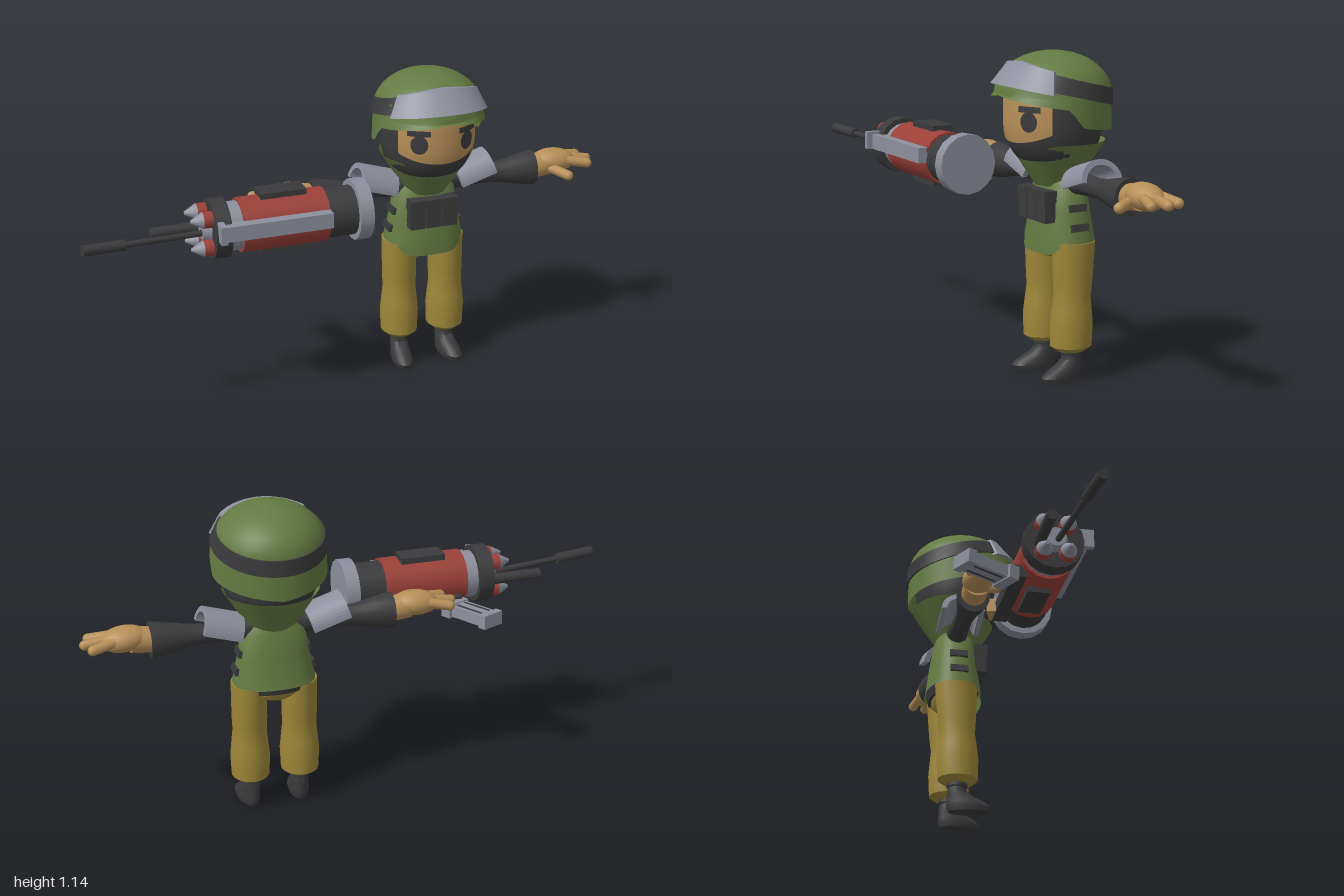
import * as THREE from 'three';
import { toCreasedNormals } from 'three/addons/utils/BufferGeometryUtils.js';

const mat = (name, color, extra = {}) => {
  const m = new THREE.MeshStandardMaterial({ color, ...extra });
  m.name = name;
  return m;
};
const lerp = THREE.MathUtils.lerp, smooth = THREE.MathUtils.smoothstep;

// surface from a rule fn(u, v) -> [x, y, z]
function grid(fn, nu, nv, crease = 0.7) {
  const pos = [], idx = [], w = nv + 1;
  for (let i = 0; i <= nu; i++) for (let j = 0; j <= nv; j++) pos.push(...fn(i / nu, j / nv));
  for (let i = 0; i < nu; i++) for (let j = 0; j < nv; j++) {
    const a = i * w + j, b = a + w;
    idx.push(a, b, b + 1, a, b + 1, a + 1);
  }
  const g = new THREE.BufferGeometry();
  g.setAttribute('position', new THREE.Float32BufferAttribute(pos, 3));
  g.setIndex(idx);
  return toCreasedNormals(g, crease);
}

// stacked rounded sections [y, z, rx, rz], closed at both ends
function loft(rows, n = 20) {
  const first = rows[0], last = rows[rows.length - 1];
  const r = [[first[0], first[1], 0, 0], ...rows, [last[0], last[1], 0, 0]];
  return grid((u, v) => {
    const [y, z, rx, rz] = r[Math.round(v * (r.length - 1))], a = u * Math.PI * 2;
    return [rx * Math.sin(a), y, z + rz * Math.cos(a)];
  }, n, r.length - 1);
}

// head and helmet surfaces, by heading angle and height
function headPoint(a, y, o = 0) {
  const s = Math.pow(Math.max(0, 1 - Math.pow(Math.abs((y - 0.93) / 0.19), 2.8)), 1 / 2.8);
  return [(0.172 * s + o) * Math.sin(a), y, -0.053 + (0.168 * s + o) * Math.cos(a)];
}
function helmetPoint(a, y, o = 0) {
  const s = y > 1 ? Math.sqrt(Math.max(0, 1 - ((y - 1) / 0.142) ** 2)) : 1;
  return [(0.197 * s + o) * Math.sin(a), y, -0.05 + (0.203 * s + o) * Math.cos(a)];
}
function helmetRim(a) {
  const d = Math.abs(a) * 180 / Math.PI;
  if (d < 76) return lerp(1.0, 0.96, d / 76);
  if (d < 91) return lerp(0.96, 0.894, (d - 76) / 15);
  return lerp(0.894, 0.855, (d - 91) / 89);
}

export function createModel() {
  const green = mat('olive green', 0x647a42, { side: THREE.DoubleSide });
  const dark = mat('charcoal', 0x3b3b3d);
  const skin = mat('skin tan', 0xb78f58);
  const pants = mat('mustard', 0x9d8638);
  const grey = mat('steel grey', 0x8d909d);
  const red = mat('brick red', 0x9c4039);

  const root = new THREE.Group();
  const add = (parent, name, geo, m, x = 0, y = 0, z = 0) => {
    const mesh = new THREE.Mesh(geo, m);
    mesh.name = name;
    mesh.position.set(x, y, z);
    parent.add(mesh);
    return mesh;
  };
  const box = (p, name, m, w, h, d, x, y, z) => add(p, name, new THREE.BoxGeometry(w, h, d), m, x, y, z);
  // round bar between two points, r0 at a and r1 at b
  const rod = (p, name, m, a, b, r0, r1 = r0, n = 16) => {
    const A = new THREE.Vector3(...a), B = new THREE.Vector3(...b), d = B.clone().sub(A);
    const mesh = add(p, name, new THREE.CylinderGeometry(r1, r0, d.length(), n), m);
    mesh.position.copy(A).add(B).multiplyScalar(0.5);
    mesh.quaternion.setFromUnitVectors(new THREE.Vector3(0, 1, 0), d.normalize());
    return mesh;
  };
  const finger = (p, name, a, b, r) => {
    const A = new THREE.Vector3(...a), B = new THREE.Vector3(...b), d = B.clone().sub(A);
    const mesh = add(p, name, new THREE.CapsuleGeometry(r, d.length(), 5, 10), skin);
    mesh.position.copy(A).add(B).multiplyScalar(0.5);
    mesh.quaternion.setFromUnitVectors(new THREE.Vector3(0, 1, 0), d.normalize());
  };

  const body = new THREE.Group();
  body.name = 'soldier';
  body.position.x = 0.322;
  root.add(body);

  // head: hood, face, eyes and brows
  add(body, 'hood', grid((u, v) => headPoint(u * Math.PI * 2, 0.93 - 0.19 * Math.cos(v * Math.PI)), 36, 20), dark);
  add(body, 'face', grid((u, v) => {
    const a = lerp(-1, 1, u);
    return headPoint(a, lerp(0.836 + 0.035 * a * a, 1.03, v), 0.004);
  }, 20, 10), skin);
  for (const s of [-1, 1]) {
    add(body, 'eye', grid((u, v) => {
      const t = -u * Math.PI * 2;
      return headPoint(s * 0.53 + 0.18 * v * Math.cos(t), 0.914 + 0.035 * v * Math.sin(t), 0.009);
    }, 20, 3), dark);
    add(body, 'brow', grid((u, v) => headPoint(s * 0.54 + (u - 0.5) * 0.48, 0.946 + 0.021 * v, 0.01), 6, 1), dark);
  }

  // helmet shell with flared rim, strap and goggles
  add(body, 'helmet', grid((u, v) => {
    const a = lerp(-Math.PI, Math.PI, u), rim = helmetRim(a);
    const y = v < 0.4 ? lerp(rim, Math.max(1.0, rim), v / 0.4) : 1 + 0.142 * Math.sin((v - 0.4) / 0.6 * Math.PI / 2);
    return helmetPoint(a, y, 0.012 * Math.max(0, 1 - v / 0.4) * (0.5 + 0.5 * Math.cos(a)));
  }, 48, 15), green);
  const band = (half, thick, a0, a1, open) => grid((u, v) => {
    const a = lerp(a0, a1, u), k = Math.round(v * 3);
    const y = 1.037 + 0.243 * (0.2 * Math.cos(a) - 0.05) + (k < 2 ? -half : half);
    const out = (k === 1 || k === 2) && (open || (u > 0 && u < 1));
    return helmetPoint(a, y, out ? thick : -0.004);
  }, 40, 3, 0.5);
  add(body, 'helmetStrap', band(0.029, 0.006, -Math.PI, Math.PI, true), dark);
  add(body, 'goggles', band(0.038, 0.017, -1.12, 1.12, false), grey);

  // scarf dipping below the chin
  add(body, 'scarf', grid((u, v) => {
    const a = lerp(-Math.PI, Math.PI, u);
    const y = lerp(0.68, 0.775 + 0.06 * smooth(Math.abs(a), 0.3, 1.05), v), r = 0.08 + (y - 0.69) * 0.63;
    return [r * Math.sin(a), y, -0.063 + r * Math.cos(a)];
  }, 36, 6), green);

  // vest with front flap, belt and hips
  const vestRows = [[0.5, 0.147, 0.1], [0.6, 0.126, 0.087], [0.69, 0.114, 0.073], [0.725, 0.08, 0.06]];
  add(body, 'vest', grid((u, v) => {
    const a = lerp(-Math.PI, Math.PI, u), c = Math.cos(a), s = Math.sin(a), k = Math.round(v * 4);
    const flap = smooth(c, 0.45, 0.9);
    const [y, rx, rz] = k ? vestRows[k - 1] : [0.49 - 0.043 * flap, 0.148, 0.103];
    const pow = x => Math.sign(x) * Math.pow(Math.abs(x), 0.85);
    return [rx * pow(s), y, -0.08 + rz * pow(c)];
  }, 36, 4), green);
  add(body, 'belt', loft([[0.466, -0.082, 0.135, 0.088], [0.5, -0.08, 0.145, 0.098]], 28), dark);
  add(body, 'hips', loft([[0.43, -0.08, 0.06, 0.06], [0.455, -0.08, 0.125, 0.078], [0.49, -0.08, 0.13, 0.08]], 28), pants);
  for (const i of [-1, 0, 1]) {
    box(body, 'pouch', dark, 0.058, 0.1, 0.042, i * 0.062, 0.61, 0.011);
    box(body, 'pouchFlap', dark, 0.061, 0.04, 0.048, i * 0.062, 0.65, 0.011);
  }

  // half ring profile of a shoulder pad
  const arch = new THREE.Shape();
  arch.absellipse(0, 0, 0.08, 0.075, 0, Math.PI, false);
  arch.absellipse(0, 0, 0.06, 0.055, Math.PI, 0, true);
  const padGeo = new THREE.ExtrudeGeometry(arch, { depth: 0.14, bevelEnabled: false, curveSegments: 10 });
  padGeo.rotateY(Math.PI / 2).rotateZ(0.3);

  // limbs, built on the left and mirrored
  for (const s of [1, -1]) {
    const side = new THREE.Group();
    side.name = s > 0 ? 'leftSide' : 'rightSide';
    side.scale.x = s;
    body.add(side);

    add(side, 'trouserLeg', loft([[0.105, -0.072, 0.048, 0.05], [0.122, -0.074, 0.068, 0.074], [0.2, -0.075, 0.071, 0.077],
      [0.25, -0.076, 0.066, 0.072], [0.3, -0.077, 0.061, 0.066], [0.35, -0.079, 0.063, 0.071], [0.41, -0.08, 0.063, 0.075],
      [0.49, -0.082, 0.063, 0.079]]), pants, 0.092);
    const boot = add(side, 'boot', loft([[0, -0.034, 0.034, 0.074], [0.018, -0.033, 0.039, 0.082], [0.035, -0.043, 0.037, 0.071],
      [0.055, -0.063, 0.034, 0.05], [0.075, -0.076, 0.032, 0.036], [0.09, -0.076, 0.031, 0.034], [0.093, -0.076, 0.036, 0.038],
      [0.115, -0.076, 0.036, 0.038]]), dark, 0.1);
    boot.rotation.y = 0.12;
    for (const [x, y] of [[0.125, 0.61], [0.139, 0.544]]) box(side, 'sidePatch', dark, 0.012, 0.026, 0.066, x, y, -0.078).rotation.z = 0.18;

    const sleevePts = [[0, 0.04], [0.045, 0.04], [0.037, 0.17], [0.035, 0.25], [0.042, 0.31], [0.05, 0.345],
      [0.055, 0.37], [0.063, 0.41], [0.065, 0.437], [0, 0.437]].map(p => new THREE.Vector2(...p));
    const sleeve = toCreasedNormals(new THREE.LatheGeometry(sleevePts, 20), 0.7).rotateZ(-Math.PI / 2);
    sleeve.scale(1, 1, 0.92);
    add(side, 'sleeve', sleeve, dark, 0, 0.698, -0.082);
    add(side, 'shoulderPad', padGeo, grey, 0.13, 0.684, -0.087);

    // hand with three fingers and a thumb
    rod(side, 'wrist', skin, [0.43, 0.7, -0.082], [0.5, 0.71, -0.082], 0.045, 0.047);
    const palm = add(side, 'palm', new THREE.SphereGeometry(1, 20, 14), skin, 0.525, 0.716, -0.082);
    palm.scale.set(0.085, 0.045, 0.056);
    palm.rotation.z = -0.08;
    for (const k of [-1, 0, 1])
      finger(side, 'finger', [0.555, 0.722, -0.082 + k * 0.03], [0.66 - 0.02 * Math.abs(k), 0.708, -0.08 + k * 0.052], 0.018);
    finger(side, 'thumb', [0.495, 0.7, -0.055], [0.538, 0.69, 0.025], 0.019);
  }

  // launcher lying along x
  const gun = new THREE.Group();
  gun.name = 'launcher';
  root.add(gun);
  const Y = 0.714, Z = 0.115;
  const drum = (name, m, x0, x1, r0, r1 = r0, y = Y, z = Z, n = 16) => rod(gun, name, m, [x0, y, z], [x1, y, z], r0, r1, n);
  drum('rearPlate', grey, 0.02, -0.03, 0.109);
  drum('rearDrum', dark, -0.03, -0.14, 0.088);
  drum('redCasing', red, -0.135, -0.445, 0.096);
  drum('frontCollar', grey, -0.44, -0.5, 0.086);
  drum('frontRing', dark, -0.49, -0.547, 0.105);
  drum('muzzleHub', grey, -0.54, -0.575, 0.05, 0.035);
  for (const a of [-1, 1]) for (const b of [-1, 1]) {
    drum('rocketBody', red, -0.545, -0.58, 0.029, 0.029, Y + a * 0.052, Z + b * 0.042, 12);
    drum('rocketTip', grey, -0.58, -0.622, 0.029, 0.006, Y + a * 0.052, Z + b * 0.042, 12);
  }
  for (const a of [-1, 1]) box(gun, 'casingPad', dark, 0.165, 0.022, 0.08, -0.285, Y + a * 0.1, 0.1);
  box(gun, 'sideRail', grey, 0.4, 0.055, 0.045, -0.335, 0.733, 0.213);
  box(gun, 'railStop', grey, 0.022, 0.065, 0.06, -0.53, 0.738, 0.225);
  drum('shortBarrel', dark, -0.53, -0.742, 0.02, 0.02, 0.703, 0.062, 12);
  rod(gun, 'longBarrel', dark, [-0.54, 0.703, 0.118], [-0.86, 0.714, 0.153], 0.011, 0.011, 10);
  rod(gun, 'silencer', dark, [-0.85, 0.714, 0.152], [-0.998, 0.72, 0.17], 0.019, 0.019, 12);

  // inner rail, grip and angled magazine
  box(gun, 'innerRail', dark, 0.36, 0.045, 0.05, -0.235, 0.655, 0.022);
  box(gun, 'grip', skin, 0.075, 0.05, 0.06, -0.085, 0.665, 0.005).rotation.y = -0.3;
  const mag = new THREE.Group();
  mag.name = 'magazine';
  mag.position.set(-0.42, 0.65, -0.1);
  mag.rotation.set(0.06, 0.45, 0);
  gun.add(mag);
  box(mag, 'magazineBody', grey, 0.075, 0.042, 0.19, 0, 0, 0.01);
  box(mag, 'magazineFoot', grey, 0.09, 0.05, 0.03, 0, 0, -0.085);
  box(mag, 'magazineNeck', grey, 0.1, 0.05, 0.04, 0, 0, 0.09);
  for (const x of [-0.02, 0.02]) box(mag, 'magazineGroove', dark, 0.008, 0.046, 0.12, x, 0, 0);

  return root;
}
